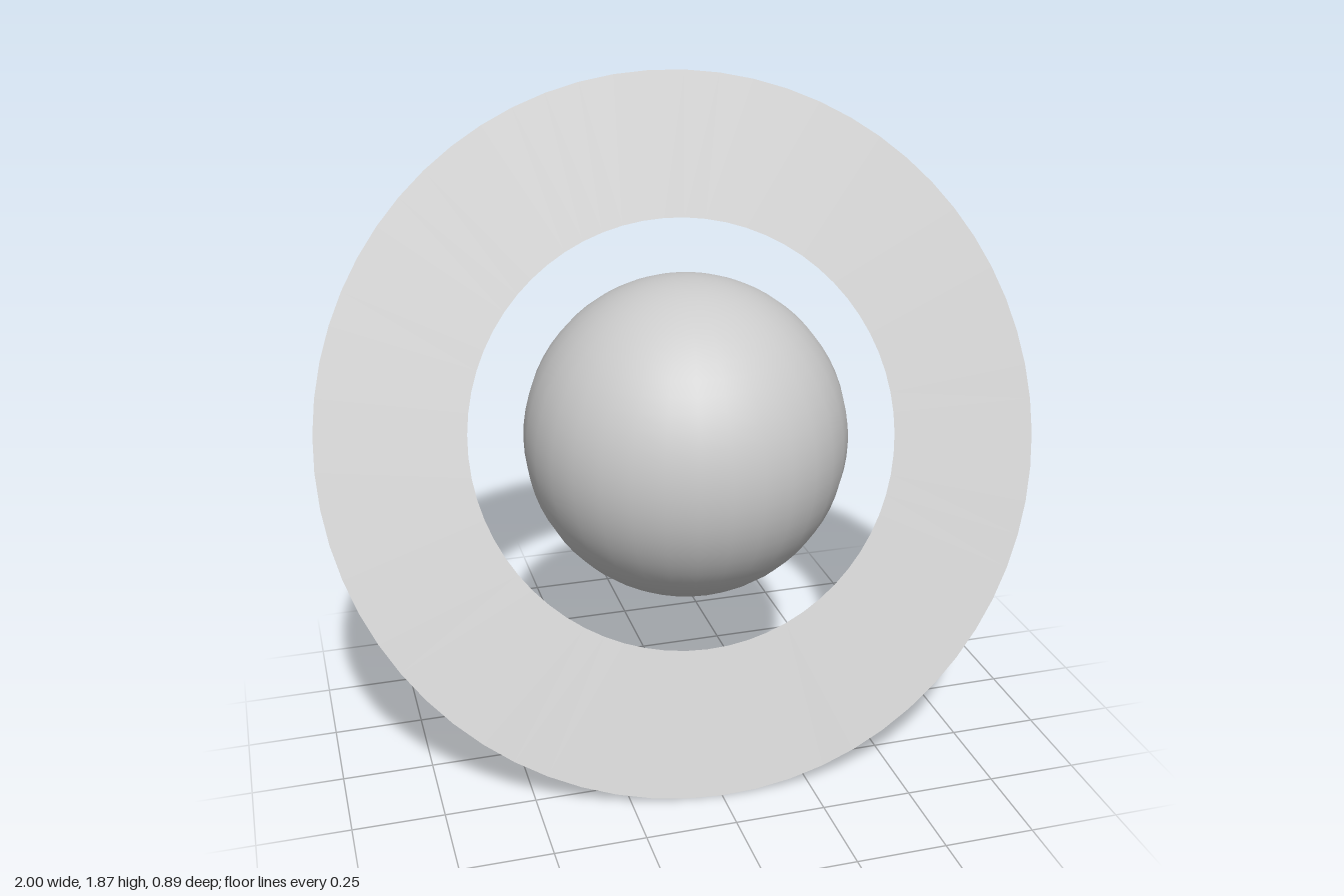
import * as THREE from 'three';

const CENTER_Y = 0.937;

export function createModel() {
  const model = new THREE.Group();
  model.name = 'ringedPlanet';

  // Smooth globe
  const globe = new THREE.Mesh(
    new THREE.SphereGeometry(0.445, 32, 32),
    new THREE.MeshStandardMaterial({ color: 0xcccccc })
  );
  globe.name = 'globe';
  globe.position.y = CENTER_Y;
  model.add(globe);

  // Flat, paper-thin ring, leaning back and turned slightly to one side
  const ring = new THREE.Mesh(
    new THREE.RingGeometry(0.597, 1.004, 64),
    new THREE.MeshStandardMaterial({ color: 0xcccccc, side: THREE.DoubleSide })
  );
  ring.name = 'ring';
  ring.position.y = CENTER_Y;
  ring.rotation.set(-0.376, -0.087, 0);
  model.add(ring);

  return model;
}
